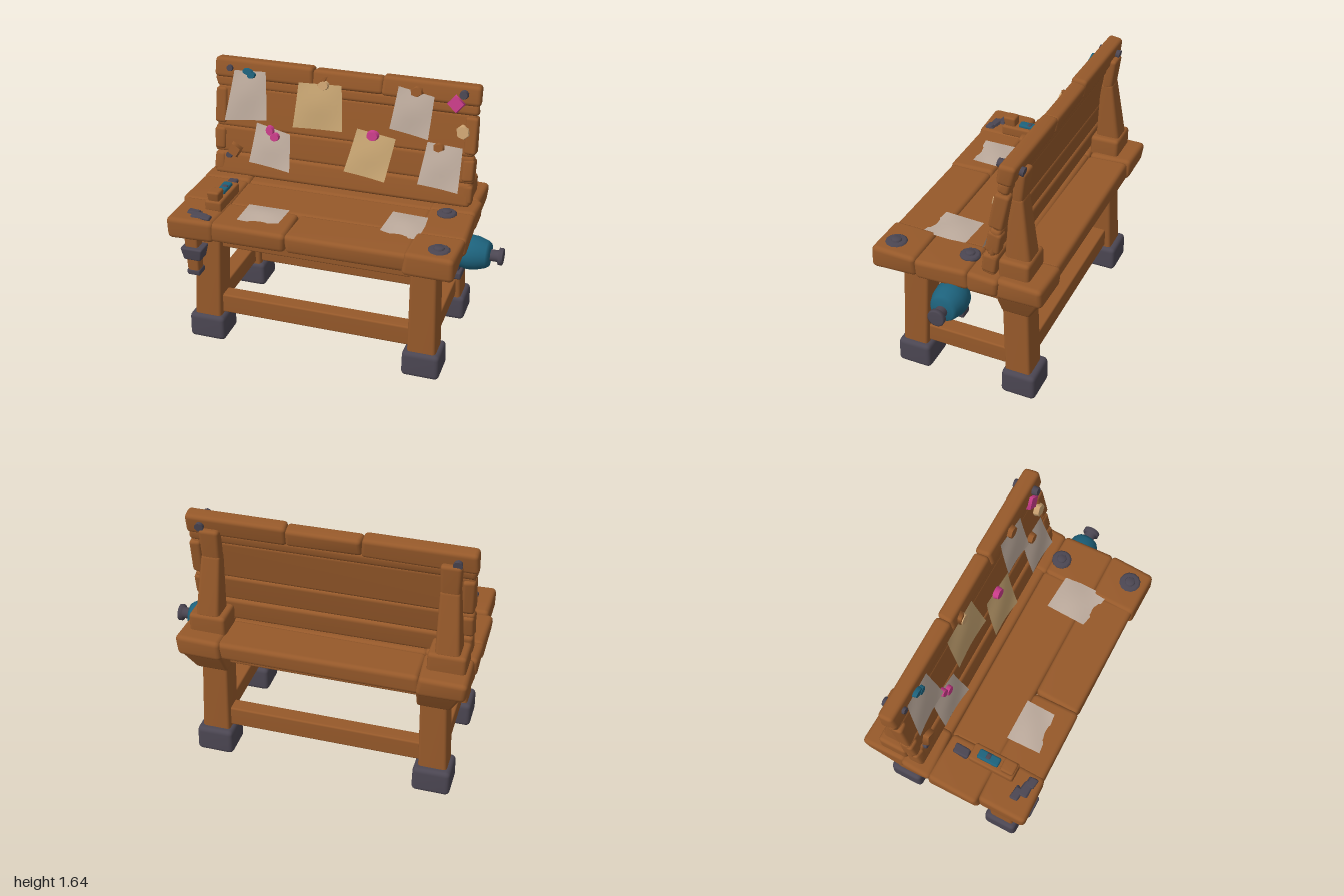
import * as THREE from 'three';
import { mergeVertices } from 'three/addons/utils/BufferGeometryUtils.js';
import { RoundedBoxGeometry } from 'three/addons/geometries/RoundedBoxGeometry.js';

const material = (name, color, extra = {}) => {
  const m = new THREE.MeshStandardMaterial({ color, ...extra });
  m.name = name;
  return m;
};

export function createModel() {
  const wood = material('wood', 0x96592a);
  const metal = material('dark metal', 0x4b4652);
  const teal = material('teal paint', 0x1d627c);
  const pink = material('pink', 0xc83c88);
  const tan = material('tan', 0xcda472);
  const paleSheet = material('pale paper', 0xbcaa9c, { side: THREE.DoubleSide });
  const tanSheet = material('tan paper', 0xc4a270, { side: THREE.DoubleSide });

  const model = new THREE.Group();
  model.name = 'workbench';
  const group = (name, parent = model) => {
    const g = new THREE.Group();
    g.name = name;
    parent.add(g);
    return g;
  };
  const add = (parent, name, geometry, mat) => {
    const m = new THREE.Mesh(geometry, mat);
    m.name = name;
    parent.add(m);
    return m;
  };

  // Rounded beam between two level sections [x, y, z, width, depth]; wonk nudges the corners
  let seed = 7;
  const rand = () => ((seed = (seed * 16807) % 2147483647) / 2147483647) * 2 - 1;
  const beam = (parent, name, mat, a, b, r = 0.022, wonk = 0) => {
    const h = b[1] - a[1], w = (a[3] + b[3]) / 2, d = (a[4] + b[4]) / 2;
    let g = new RoundedBoxGeometry(w, h, d, 2, Math.min(r, w / 2.1, h / 2.1, d / 2.1));
    g.deleteAttribute('normal');
    g.deleteAttribute('uv');
    g = mergeVertices(g, 1e-5);
    const nudge = Array.from({ length: 8 }, () => [rand() * wonk, rand() * wonk * 0.4, rand() * wonk]);
    const p = g.attributes.position, mix = THREE.MathUtils.lerp;
    for (let i = 0; i < p.count; i++) {
      const x = p.getX(i), y = p.getY(i), z = p.getZ(i), t = y / h + 0.5;
      const n = nudge[(x > 0) + 2 * (y > 0) + 4 * (z > 0)];
      p.setXYZ(i,
        mix(a[0], b[0], t) + x * mix(a[3], b[3], t) / w + n[0],
        mix(a[1], b[1], t) + n[1],
        mix(a[2], b[2], t) + z * mix(a[4], b[4], t) / d + n[2]);
    }
    g.computeVertexNormals();
    return add(parent, name, g, mat);
  };
  const block = (parent, name, mat, x0, x1, y0, y1, z0, z1, r = 0.022, wonk = 0) => {
    const x = (x0 + x1) / 2, z = (z0 + z1) / 2;
    return beam(parent, name, mat, [x, y0, z, x1 - x0, z1 - z0], [x, y1, z, x1 - x0, z1 - z0], r, wonk);
  };
  // Turned part about y from [radius, height] pairs
  const turned = (parent, name, mat, profile, sides = 20) =>
    add(parent, name, new THREE.LatheGeometry(profile.map(([r, y]) => new THREE.Vector2(r, y)), sides), mat);
  const disc = (r, h) => [[0, 0], [r, 0], [r, h * 0.6], [r * 0.8, h], [0, h]];

  // Legs, feet and flared rear collars
  const frame = group('frame');
  for (const [bx, tx, s] of [[-0.795, -0.765, -1], [0.605, 0.595, 1]]) {
    for (const [bz, tz] of [[0.335, 0.308], [-0.355, -0.325]]) {
      beam(frame, 'leg', wood, [bx, 0.14, bz, 0.18, 0.165], [tx, 0.8, tz, 0.16, 0.165], 0.02);
      const fz = bz > 0 ? 0.333 : -0.367;
      beam(frame, 'foot', metal, [bx, 0, fz, 0.24, 0.225], [bx, 0.17, fz, 0.235, 0.215], 0.03);
    }
    beam(frame, 'rearCollar', wood, [tx + s * 0.01, 0.62, -0.345, 0.2, 0.17],
      [tx + s * 0.05, 0.79, -0.385, 0.27, 0.28], 0.02);
    block(frame, 'sideStretcher', wood, bx - 0.055, bx + 0.055, 0.18, 0.3, -0.34, 0.33, 0.012);
    block(frame, 'sideApron', wood, tx - 0.06, tx + 0.06, 0.65, 0.8, -0.32, 0.3, 0.012);
  }
  for (const z of [0.325, -0.345]) {
    block(frame, 'longStretcher', wood, -0.78, 0.6, 0.18, 0.31, z - 0.05, z + 0.05, 0.012);
    block(frame, 'longApron', wood, -0.76, 0.59, 0.65, 0.8, z * 0.93 - 0.055, z * 0.93 + 0.055, 0.012);
  }

  // Tabletop planks with heavier end pieces
  const top = group('tabletop');
  const planks = [
    [-0.7, -0.22, 0.77, 0.895, 0.225, 0.52], [-0.225, 0.53, 0.775, 0.895, 0.225, 0.515],
    [-0.7, 0.53, 0.775, 0.888, -0.09, 0.235], [-0.7, 0.53, 0.775, 0.888, -0.26, -0.085],
    [-0.7, 0.53, 0.77, 0.89, -0.525, -0.25],
    [-0.975, -0.675, 0.765, 0.905, 0.235, 0.54], [0.5, 0.805, 0.765, 0.908, 0.24, 0.535],
    [-0.995, -0.68, 0.775, 0.9, -0.09, 0.245], [-0.995, -0.68, 0.775, 0.9, -0.27, -0.08],
    [0.505, 0.805, 0.775, 0.9, -0.09, 0.25], [0.505, 0.805, 0.775, 0.9, -0.27, -0.08],
    [-0.98, -0.685, 0.768, 0.9, -0.54, -0.26], [0.5, 0.785, 0.768, 0.9, -0.545, -0.26],
  ];
  for (const p of planks) block(top, 'tabletopPlank', wood, ...p, 0.03, 0.008);

  // Posts behind the board
  for (const [x, s] of [[-0.835, 1], [0.62, -1]]) {
    const post = group('backPost');
    block(post, 'postBase', wood, x - 0.115, x + 0.115, 0.87, 1.01, -0.44, -0.25, 0.025);
    beam(post, 'postLower', wood, [x, 0.99, -0.35, 0.15, 0.16], [x + s * 0.02, 1.39, -0.325, 0.115, 0.08]);
    beam(post, 'postUpper', wood, [x + s * 0.02, 1.36, -0.325, 0.115, 0.075], [x + s * 0.02, 1.56, -0.35, 0.125, 0.07]);
  }

  // Leaning board, built upright and tilted back
  const board = group('pinBoard');
  board.position.set(0, 0.9, -0.19);
  board.rotation.x = -0.165;
  const up = y => (y - 0.9) / 0.986;
  const boards = [
    [-0.95, 0.745, 0.89, 1.04, -0.045, 0.045], [-0.955, 0.75, 1.03, 1.21, -0.03, 0.035],
    [-0.945, 0.74, 1.2, 1.47, -0.03, 0.033], [-0.955, 0.745, 1.455, 1.53, -0.035, 0.036],
    [-0.96, -0.3, 1.515, 1.64, -0.05, 0.05], [-0.3, 0.145, 1.52, 1.63, -0.048, 0.048],
    [0.14, 0.755, 1.515, 1.64, -0.05, 0.05],
  ];
  for (const [x0, x1, y0, y1, z0, z1] of boards)
    block(board, 'boardPlank', wood, x0, x1, up(y0), up(y1), z0, z1, 0.025, 0.005);
  for (const x of [-0.95, 0.675])
    for (const [y0, y1] of [[0.91, 1.03], [1.05, 1.19], [1.22, 1.45]])
      block(board, 'boardEnd', wood, x, x + 0.075, up(y0), up(y1), -0.045, 0.045, 0.02, 0.004);

  // Curled sheet from four corners: top left, top right, bottom right, bottom left
  const sheet = (parent, mat, c, lift, z0) => {
    const g = new THREE.PlaneGeometry(1, 1, 6, 6), p = g.attributes.position;
    for (let i = 0; i < p.count; i++) {
      const s = p.getX(i) + 0.5, t = 0.5 - p.getY(i);
      const at = k => (c[0][k] * (1 - s) + c[1][k] * s) * (1 - t) + (c[3][k] * (1 - s) + c[2][k] * s) * t;
      p.setXYZ(i, at(0), at(1), z0 + lift * t ** 1.4 + 0.012 * Math.sin(s * Math.PI) * Math.sin(t * 4));
    }
    g.computeVertexNormals();
    return add(parent, 'paperSheet', g, mat);
  };
  const notes = [
    [paleSheet, [-0.82, 1.57], [-0.61, 1.58], [-0.585, 1.28], [-0.87, 1.25]],
    [tanSheet, [-0.39, 1.54], [-0.11, 1.55], [-0.085, 1.27], [-0.41, 1.26]],
    [paleSheet, [0.25, 1.59], [0.475, 1.55], [0.46, 1.29], [0.215, 1.33]],
    [paleSheet, [-0.665, 1.25], [-0.44, 1.2], [-0.42, 0.965], [-0.695, 1.0]],
    [tanSheet, [0, 1.295], [0.25, 1.26], [0.205, 0.99], [-0.06, 1.025]],
    [paleSheet, [0.45, 1.27], [0.67, 1.255], [0.67, 0.985], [0.415, 1.01]],
  ];
  for (const [mat, ...c] of notes) {
    const high = c[0][1] > 1.4;
    sheet(board, mat, c.map(([x, y]) => [x, up(y)]), high ? 0.025 : 0.045, high ? 0.053 : 0.04);
  }

  // Pins, clips and bolts on the board: [material, x, y, z, rx, ry, rz, sides, turn]
  const studs = [
    [teal, -0.725, 1.57, 0.06, 0.04, 0.022, 0.02, 12, -0.2], [teal, -0.7, 1.55, 0.062, 0.03, 0.022, 0.02, 12, 0.3],
    [tan, -0.225, 1.54, 0.06, 0.038, 0.032, 0.02, 12, 0], [wood, -0.235, 1.565, 0.056, 0.045, 0.02, 0.018, 4, 0.78],
    [wood, 0.365, 1.57, 0.06, 0.045, 0.035, 0.02, 6, 0.2], [wood, 0.525, 1.245, 0.056, 0.04, 0.03, 0.02, 6, 0.1],
    [pink, -0.57, 1.21, 0.05, 0.028, 0.036, 0.02, 12, 0.5], [pink, -0.535, 1.175, 0.055, 0.034, 0.03, 0.02, 12, 0.2],
    [pink, 0.105, 1.265, 0.055, 0.042, 0.034, 0.022, 12, 0], [pink, 0.61, 1.525, 0.05, 0.062, 0.062, 0.025, 4, 0.08],
    [tan, 0.665, 1.355, 0.045, 0.048, 0.048, 0.022, 6, 0.2], [wood, -0.81, 1.055, 0.05, 0.055, 0.055, 0.022, 4, 0.3],
    [metal, 0.655, 1.585, 0.06, 0.03, 0.03, 0.03, 10, 0], [metal, -0.85, 1.58, 0.05, 0.024, 0.024, 0.02, 10, 0],
    [metal, 0.655, 1.585, -0.05, 0.028, 0.028, 0.03, 10, 0], [metal, -0.85, 1.58, -0.05, 0.028, 0.028, 0.03, 10, 0],
    [metal, -0.845, 1.02, 0.045, 0.03, 0.024, 0.015, 7, 0.4],
  ];
  for (const [mat, x, y, z, rx, ry, rz, sides, turn] of studs) {
    const g = new THREE.CylinderGeometry(0.82, 1, 2, sides).rotateX(Math.PI / 2);
    const m = add(board, 'pin', g, mat);
    m.position.set(x, up(y), z);
    m.scale.set(rx, ry, rz * 0.8);
    m.rotation.z = turn;
  }

  // Sheets lying on the table
  for (const c of [
    [[-0.56, 0.215], [-0.295, 0.215], [-0.3, 0.4], [-0.555, 0.43]],
    [[0.31, 0.035], [0.545, 0.05], [0.54, 0.335], [0.3, 0.29]],
  ]) {
    const m = sheet(model, paleSheet, c.map(([x, z]) => [x, -z]), 0.004, 0.899);
    m.rotation.x = -Math.PI / 2;
  }

  // Clamp on the right-hand end
  const vise = group('vise');
  const barrel = group('viseBarrel', vise);
  barrel.position.set(0.72, 0.69, 0.015);
  barrel.rotation.z = -Math.PI / 2;
  turned(barrel, 'viseBody', teal,
    [[0, -0.03], [0.07, -0.02], [0.098, 0.02], [0.108, 0.07], [0.104, 0.12], [0.085, 0.18], [0.07, 0.2], [0, 0.205]]);
  turned(barrel, 'viseRod', metal, [[0.036, 0.18], [0.036, 0.25], [0.053, 0.252], [0.053, 0.277], [0.045, 0.28], [0, 0.28]]);
  block(vise, 'viseNeck', metal, 0.66, 0.745, 0.57, 0.68, -0.02, 0.07, 0.015);
  block(vise, 'viseFoot', metal, 0.68, 0.76, 0.525, 0.575, -0.04, 0.095, 0.012);

  // Hammer hanging at the front left
  const hammer = group('hangingHammer');
  beam(hammer, 'hammerHandle', wood, [-0.825, 0.53, 0.475, 0.075, 0.075], [-0.83, 0.78, 0.475, 0.09, 0.08], 0.015);
  beam(hammer, 'hammerHead', metal, [-0.82, 0.625, 0.485, 0.11, 0.09], [-0.82, 0.71, 0.485, 0.145, 0.115], 0.012);
  block(hammer, 'hammerCap', metal, -0.868, -0.782, 0.51, 0.552, 0.43, 0.515, 0.012);

  // Hand plane on the left
  const plane = group('handPlane');
  block(plane, 'planeBody', wood, -0.79, -0.68, 0.895, 0.965, 0.075, 0.37, 0.015);
  beam(plane, 'planeKnob', wood, [-0.735, 0.95, 0.318, 0.07, 0.075], [-0.735, 1.025, 0.325, 0.085, 0.09], 0.015);
  block(plane, 'planeBlade', teal, -0.765, -0.705, 0.955, 0.985, 0.12, 0.26, 0.012);
  block(plane, 'planeIron', metal, -0.75, -0.71, 0.955, 0.99, 0.17, 0.2, 0.01);
  block(plane, 'planeTail', metal, -0.79, -0.73, 0.89, 0.935, -0.03, 0.07, 0.012, 0.006);

  // Metal scraps and round fittings on the tabletop
  for (const [x0, x1, z0, z1] of [[-0.87, -0.79, 0.4, 0.45], [-0.84, -0.74, 0.435, 0.49], [-0.77, -0.7, 0.45, 0.505]])
    block(model, 'metalScrap', metal, x0, x1, 0.895, 0.92, z0, z1, 0.01, 0.008);
  for (const [x, z, r] of [[0.63, -0.03, 0.062], [0.69, 0.42, 0.068]]) {
    const f = group('roundFitting');
    f.position.set(x, 0.895, z);
    turned(f, 'fittingBase', metal, disc(r, 0.022), 12);
    turned(f, 'fittingKnob', metal, disc(r * 0.5, 0.034), 10);
  }
  return model;
}
